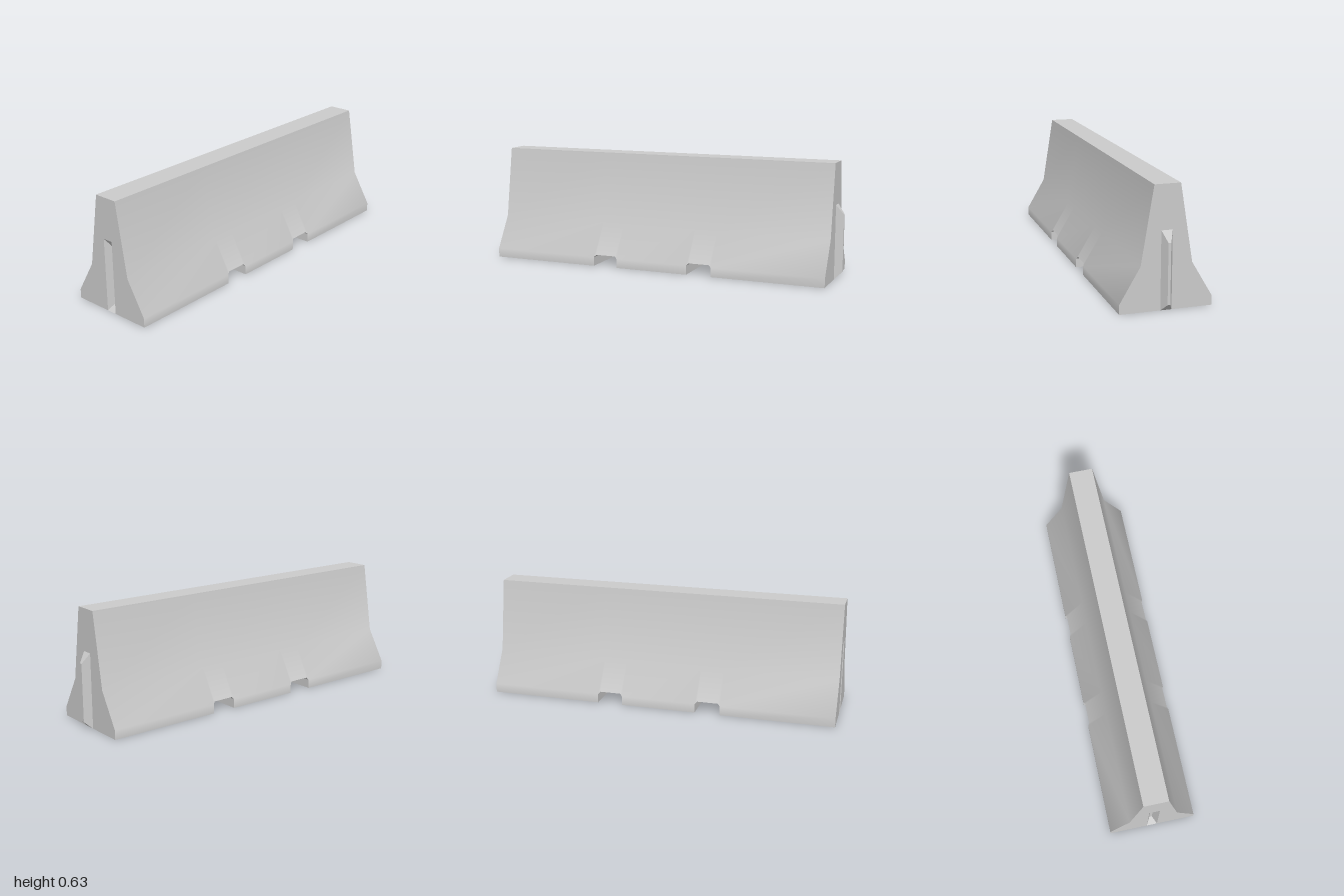
import * as THREE from 'three';
import { toCreasedNormals } from 'three/addons/utils/BufferGeometryUtils.js';

const X0 = -1, X1 = 0.96, KEY = 0.04;

// Half-profile of the barrier: [y, half width]
const FOOT = [0.05, 0.239], WAIST = [0.232, 0.132], TOP = [0.63, 0.067];

// Key: rectangles [half width, bottom, top] at its root and its tip
const ROOT = [0.029, 0, 0.403], TIP = [0.007, 0.038, 0.35];

const material = new THREE.MeshStandardMaterial({ color: 0xcccccc });

// Geometry from quads of four corners each, dropping collapsed triangles
function fromQuads(quads) {
  const pos = [];
  const tri = new THREE.Triangle();
  for (const [a, b, c, d] of quads) {
    for (const t of [[a, b, c], [a, c, d]]) {
      tri.set(...t);
      if (tri.getArea() > 1e-8) t.forEach((p) => pos.push(p.x, p.y, p.z));
    }
  }
  const g = new THREE.BufferGeometry();
  g.setAttribute('position', new THREE.Float32BufferAttribute(pos, 3));
  g.computeVertexNormals();
  return g;
}

// Closed cross-section at x whose underside is raised to height f
function section(x, f) {
  const width = (y) => (y <= FOOT[0] ? FOOT[1]
    : THREE.MathUtils.mapLinear(y, FOOT[0], WAIST[0], FOOT[1], WAIST[1]));
  const shoulder = Math.max(f, FOOT[0]);
  const half = [[f, width(f)], [shoulder, width(shoulder)], WAIST, TOP];
  const front = half.map(([y, w]) => new THREE.Vector3(x, y, w));
  const back = half.map(([y, w]) => new THREE.Vector3(x, y, -w)).reverse();
  return [...front, ...back];
}

// Quads joining consecutive closed rings
function loft(rings) {
  const quads = [];
  for (let i = 0; i + 1 < rings.length; i++) {
    const p = rings[i], q = rings[i + 1], n = p.length;
    for (let k = 0; k < n; k++) {
      const m = (k + 1) % n;
      quads.push([p[k], q[k], q[m], p[m]]);
    }
  }
  return quads;
}

// Tapered key starting at x; hollow turns its faces inward to line a socket
function keyGeometry(x, hollow) {
  const rect = (px, [w, y0, y1]) => [[w, y0], [-w, y0], [-w, y1], [w, y1]]
    .map(([z, y]) => new THREE.Vector3(px, y, z));
  const root = rect(x, ROOT), tip = rect(x + KEY, TIP);
  const quads = [tip];
  for (let k = 0; k < 4; k++) {
    const m = (k + 1) % 4;
    quads.push([root[k], root[m], tip[m], tip[k]]);
  }
  return fromQuads(hollow ? quads.map((q) => [...q].reverse()) : quads);
}

// Flat end face, with or without the socket opening
function endGeometry(x, open) {
  const pts = [];
  if (open) {
    const [w, y0, y1] = ROOT;
    pts.push([-w, y0], [-w, y1], [w, y1], [w, y0]);
  }
  const half = [[0, FOOT[1]], FOOT, WAIST, TOP];
  half.forEach(([y, w]) => pts.push([w, y]));
  [...half].reverse().forEach(([y, w]) => pts.push([-w, y]));
  const shape = new THREE.Shape(pts.map(([a, b]) => new THREE.Vector2(a, b)));
  return new THREE.ShapeGeometry(shape)
    .rotateY(Math.sign(x) * Math.PI / 2)
    .translate(x, 0, 0);
}

export function createModel() {
  const model = new THREE.Group();
  model.name = 'concreteBarrier';
  const add = (name, geometry) => {
    const mesh = new THREE.Mesh(geometry, material);
    mesh.name = name;
    model.add(mesh);
  };

  // Long body with two chamfered lifting slots across its underside
  const stations = [[X0, 0]];
  for (const c of [-0.301, 0.262]) {
    const h = 0.071, bevel = 0.012;
    stations.push(
      [c - h, 0], [c - h, 0.05], [c - h + bevel, 0.063],
      [c + h - bevel, 0.063], [c + h, 0.05], [c + h, 0],
    );
  }
  stations.push([X1, 0]);
  const body = fromQuads(loft(stations.map(([x, f]) => section(x, f))));
  add('body', toCreasedNormals(body, THREE.MathUtils.degToRad(38)));

  // Ends: a projecting key on one, a matching socket in the other
  add('keyEnd', endGeometry(X1, false));
  add('key', keyGeometry(X1, false));
  add('socketEnd', endGeometry(X0, true));
  add('socket', keyGeometry(X0, true));

  return model;
}
